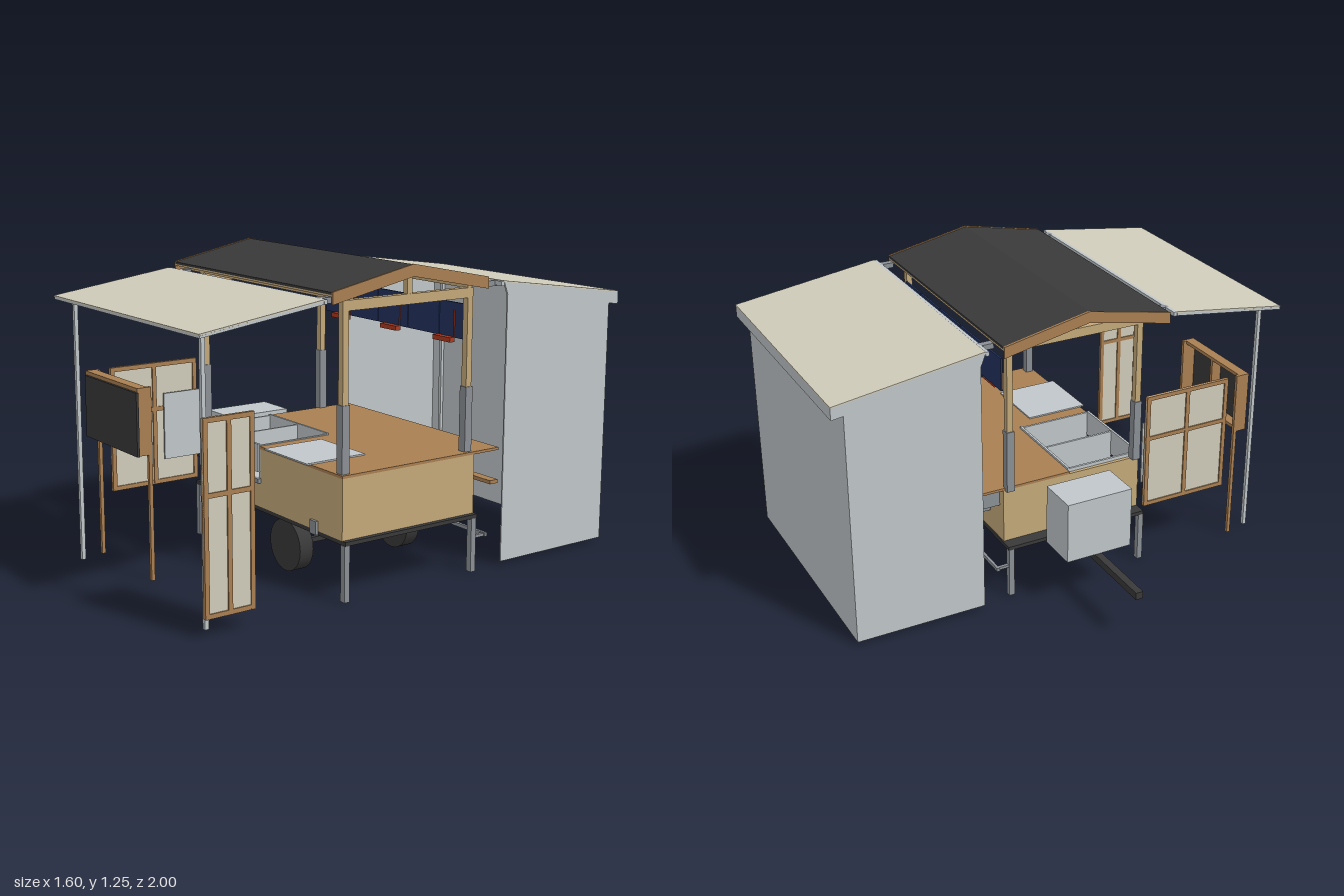
import * as THREE from 'three';

const mat = (name, color) => new THREE.MeshStandardMaterial({ name, color });

export function createModel() {
  const M = {
    tan: mat('pale wood', 0xc4a97a), wood: mat('brown wood', 0xa97f52),
    steel: mat('steel grey', 0x8b9096), light: mat('light grey', 0xc0c6c9),
    black: mat('charcoal', 0x393939), canvas: mat('beige canvas', 0xd0ccba),
    navy: mat('navy', 0x22335f), red: mat('red', 0xb0391f),
  };
  const model = new THREE.Group();
  const group = (name) => {
    const g = new THREE.Group();
    g.name = name;
    model.add(g);
    return g;
  };
  const add = (parent, name, geo, m) => {
    const mesh = new THREE.Mesh(geo, m);
    mesh.name = name;
    parent.add(mesh);
    return mesh;
  };
  // Box from its limits on each axis
  const box = (p, name, m, x0, x1, y0, y1, z0, z1) => {
    const mesh = add(p, name, new THREE.BoxGeometry(x1 - x0, y1 - y0, z1 - z0), m);
    mesh.position.set((x0 + x1) / 2, (y0 + y1) / 2, (z0 + z1) / 2);
    return mesh;
  };
  // Outline given as [z, y] points, extruded from x0 to x1
  const prism = (p, name, m, pts, x0, x1) => {
    const shape = new THREE.Shape(pts.map(([z, y]) => new THREE.Vector2(z, y)));
    const geo = new THREE.ExtrudeGeometry(shape, { depth: x1 - x0, bevelEnabled: false });
    geo.rotateY(-Math.PI / 2).translate(x1, 0, 0);
    return add(p, name, geo, m);
  };

  // Chassis: deck, drawbar, jacks, axle and wheels
  const chassis = group('chassis');
  box(chassis, 'deck', M.black, -0.29, 0.78, 0.22, 0.236, -0.26, 0.385);
  box(chassis, 'drawbar', M.black, -0.8, -0.25, 0.187, 0.218, 0.04, 0.072);
  for (const x of [-0.275, 0.765])
    for (const z of [-0.245, 0.375])
      box(chassis, 'jackLeg', M.steel, x - 0.013, x + 0.013, 0, 0.22, z - 0.012, z + 0.012);
  for (const z of [-0.203, 0.33]) {
    const wheel = add(chassis, 'wheel', new THREE.CylinderGeometry(0.105, 0.105, 0.062, 40), M.black);
    wheel.rotation.x = Math.PI / 2;
    wheel.position.set(0.348, 0.11, z);
  }
  box(chassis, 'axle', M.black, 0.338, 0.358, 0.1, 0.12, -0.19, 0.32);
  box(chassis, 'drawbarBox', M.light, -0.48, -0.3, 0.22, 0.485, -0.09, 0.205);
  for (const x of [-0.098, 0.585])
    box(chassis, 'frontBracket', M.steel, x - 0.021, x + 0.021, 0.222, 0.275, 0.385, 0.396);

  // Body: four walls with a notch for the sink, and the counter
  const body = group('body');
  box(body, 'frontWall', M.tan, 0.21, 0.76, 0.236, 0.475, 0.372, 0.385);
  box(body, 'frontWallUnderSink', M.tan, -0.22, 0.21, 0.236, 0.338, 0.372, 0.385);
  box(body, 'backWall', M.tan, -0.235, 0.76, 0.236, 0.475, -0.255, -0.242);
  box(body, 'rightWall', M.tan, -0.235, -0.22, 0.236, 0.475, -0.242, 0.385);
  box(body, 'leftWall', M.tan, 0.747, 0.76, 0.236, 0.475, -0.242, 0.372);
  box(body, 'counterLeft', M.wood, 0.21, 0.762, 0.475, 0.486, 0.05, 0.387);
  box(body, 'counterBack', M.wood, -0.237, 0.762, 0.475, 0.486, -0.38, 0.05);
  box(body, 'worktopPlate', M.light, 0.27, 0.56, 0.486, 0.492, 0.13, 0.405);

  // Double sink
  const sink = group('sink');
  box(sink, 'sinkFloor', M.light, -0.22, 0.21, 0.345, 0.355, 0.05, 0.385);
  box(sink, 'sinkLedge', M.steel, -0.22, 0.215, 0.336, 0.355, 0.385, 0.4);
  box(sink, 'sinkApron', M.light, -0.215, 0.205, 0.38, 0.495, 0.383, 0.393);
  box(sink, 'sinkBack', M.light, -0.22, 0.21, 0.355, 0.495, 0.05, 0.06);
  for (const x of [-0.215, -0.005, 0.205])
    box(sink, 'sinkDivider', M.light, x - 0.005, x + 0.005, 0.355, 0.49, 0.06, 0.385);
  for (const x of [-0.11, 0.1])
    box(sink, 'sinkHandle', M.black, x - 0.05, x + 0.05, 0.371, 0.379, 0.393, 0.401);
  box(sink, 'sideFlap', M.light, -0.262, -0.254, 0.36, 0.64, 0.385, 0.555);

  // Rear fittings: foot rail, shelf arms, slat and tray
  const rear = group('rearFittings');
  box(rear, 'footRail', M.steel, -0.29, 0.78, 0.135, 0.15, -0.315, -0.303);
  for (const x of [-0.275, 0.765]) box(rear, 'footRailArm', M.steel, x - 0.007, x + 0.007, 0.135, 0.147, -0.303, -0.25);
  for (const x of [-0.1, 0.585]) box(rear, 'shelfArm', M.steel, x - 0.012, x + 0.012, 0.322, 0.335, -0.39, -0.255);
  box(rear, 'shelfSlat', M.wood, -0.22, 0.75, 0.335, 0.35, -0.39, -0.35);
  box(rear, 'rearTray', M.steel, -0.2, 0.1, 0.39, 0.475, -0.37, -0.255);

  // Timber posts with steel sleeves, beams and king posts
  const frame = group('frame');
  for (const x of [-0.24, 0.73]) {
    for (const z of [-0.232, 0.361]) {
      box(frame, 'post', M.tan, x - 0.014, x + 0.014, 0.48, 1.13, z - 0.013, z + 0.013);
      box(frame, 'postSleeve', M.steel, x - 0.018, x + 0.018, 0.475, 0.745, z - 0.017, z + 0.017);
    }
    box(frame, 'crossBeam', M.tan, x - 0.014, x + 0.014, 1.093, 1.132, -0.245, 0.374);
    box(frame, 'kingPost', M.tan, x - 0.012, x + 0.012, 1.13, 1.21, 0.053, 0.077);
  }
  for (const z of [-0.232, 0.361])
    box(frame, 'longBeam', M.tan, -0.34, 0.74, 1.13, 1.155, z - 0.012, z + 0.012);

  // Gable roof
  const roof = group('roof');
  const gable = (top, bottom) => [
    [0.432, 1.168 + top], [0.062, 1.243 + top], [-0.308, 1.168 + top],
    [-0.308, 1.168 + bottom], [0.062, 1.243 + bottom], [0.432, 1.168 + bottom],
  ];
  prism(roof, 'roofCover', M.black, gable(0, -0.009), -0.352, 0.752);
  prism(roof, 'ceiling', M.tan, gable(-0.009, -0.016), -0.352, 0.752);
  for (const x of [-0.362, 0.752]) prism(roof, 'bargeBoard', M.wood, gable(0.002, -0.045), x, x + 0.01);
  for (const x of [-0.25, 0.73])
    for (const z of [-0.335, 0.455])
      box(roof, 'eaveBracket', M.steel, x - 0.015, x + 0.015, 1.128, 1.15, z - 0.03, z + 0.03);

  // Hanging blinds with red lamps
  const blinds = group('blinds');
  const edges = [-0.23, 0.145, 0.343, 0.54, 0.7];
  for (let i = 0; i < 4; i++)
    box(blinds, 'blind', M.navy, edges[i] + 0.002, edges[i + 1] - 0.002, 0.92, 1.06, -0.258, -0.25);
  for (const x of [-0.1, 0.242, 0.583]) {
    box(blinds, 'lamp', M.red, x - 0.052, x + 0.052, 0.903, 0.922, -0.25, -0.225);
    box(blinds, 'lampRod', M.red, x + 0.046, x + 0.051, 0.92, 1.03, -0.25, -0.246);
  }

  // Front canopy
  const canopy = group('frontCanopy');
  prism(canopy, 'canopySheet', M.canvas, [[1, 1.077], [0.485, 1.15], [0.485, 1.144], [1, 1.071]], -0.328, 0.782);
  for (const x of [-0.328, 0.767])
    prism(canopy, 'canopyRail', M.light, [[0.998, 1.071], [0.487, 1.144], [0.487, 1.132], [0.998, 1.062]], x, x + 0.015);
  box(canopy, 'canopyTopRail', M.light, -0.328, 0.782, 1.132, 1.15, 0.47, 0.485);
  box(canopy, 'canopyFrontRail', M.light, -0.313, 0.767, 1.062, 1.072, 0.985, 0.998);
  for (const x of [-0.253, 0.708])
    box(canopy, 'canopyPost', M.light, x - 0.008, x + 0.008, 0, 1.075, 0.938, 0.954);

  // Rear tent: sloping cover, valance, three walls and posts
  const tent = group('rearTent');
  prism(tent, 'tentCover', M.canvas, [[-0.37, 1.152], [-1, 1.062], [-1, 1.056], [-0.37, 1.146]], -0.328, 0.782);
  for (const x of [-0.328, 0.774]) {
    prism(tent, 'sideValance', M.light, [[-0.37, 1.146], [-1, 1.056], [-1, 1.008], [-0.39, 1.094]], x, x + 0.008);
    const w = x < 0 ? x + 0.002 : x;
    prism(tent, 'sideWall', M.light, [[-0.39, 1.14], [-0.945, 1.06], [-0.945, 0.015], [-0.39, 0.015]], w, w + 0.006);
  }
  box(tent, 'backValance', M.light, -0.328, 0.782, 1.008, 1.057, -1, -0.994);
  box(tent, 'backWall', M.light, -0.326, 0.78, 0.015, 1.06, -0.95, -0.944);
  box(tent, 'tentFrontRail', M.light, -0.328, 0.782, 1.132, 1.15, -0.37, -0.355);
  for (const x of [-0.253, 0.708])
    box(tent, 'tentPost', M.light, x - 0.008, x + 0.008, 0, 1.06, -0.944, -0.93);

  // Framed lattice panels standing across x
  const lattice = (name, x0, x1, y0, y1, z0, z1, yMid) => {
    const g = group(name);
    const t = 0.009;
    const zm = (z0 + z1) / 2, xm = (x0 + x1) / 2;
    for (const z of [z0 + t, zm, z1 - t]) box(g, 'stile', M.wood, x0, x1, y0, y1, z - t, z + t);
    for (const y of [y0 + t, yMid, y1 - t]) box(g, 'rail', M.wood, x0 + 0.0005, x1 - 0.0005, y - t, y + t, z0, z1);
    box(g, 'infill', M.canvas, xm - 0.002, xm + 0.002, y0, y1, z0, z1);
  };
  lattice('rightScreen', -0.287, -0.271, 0.255, 0.77, 0.388, 0.79, 0.575);
  lattice('leftDoor', 0.78, 0.795, 0.07, 0.79, 0.79, 0.998, 0.515);

  // Serving board: wooden case with a dark front, on two legs
  const board = group('servingBoard');
  box(board, 'boardFace', M.black, -0.27, 0.155, 0.505, 0.755, 0.895, 0.905);
  for (const y of [0.505, 0.755])
    box(board, 'boardRail', M.wood, -0.285, 0.145, y, y + 0.015, 0.85, 0.895);
  for (const x of [-0.285, -0.0775, 0.13])
    box(board, 'boardStile', M.wood, x, x + 0.015, 0.52, 0.755, 0.85, 0.895);
  for (const x of [-0.285, 0.13])
    box(board, 'boardLeg', M.wood, x, x + 0.015, 0, 0.77, 0.835, 0.85);

  return model;
}
